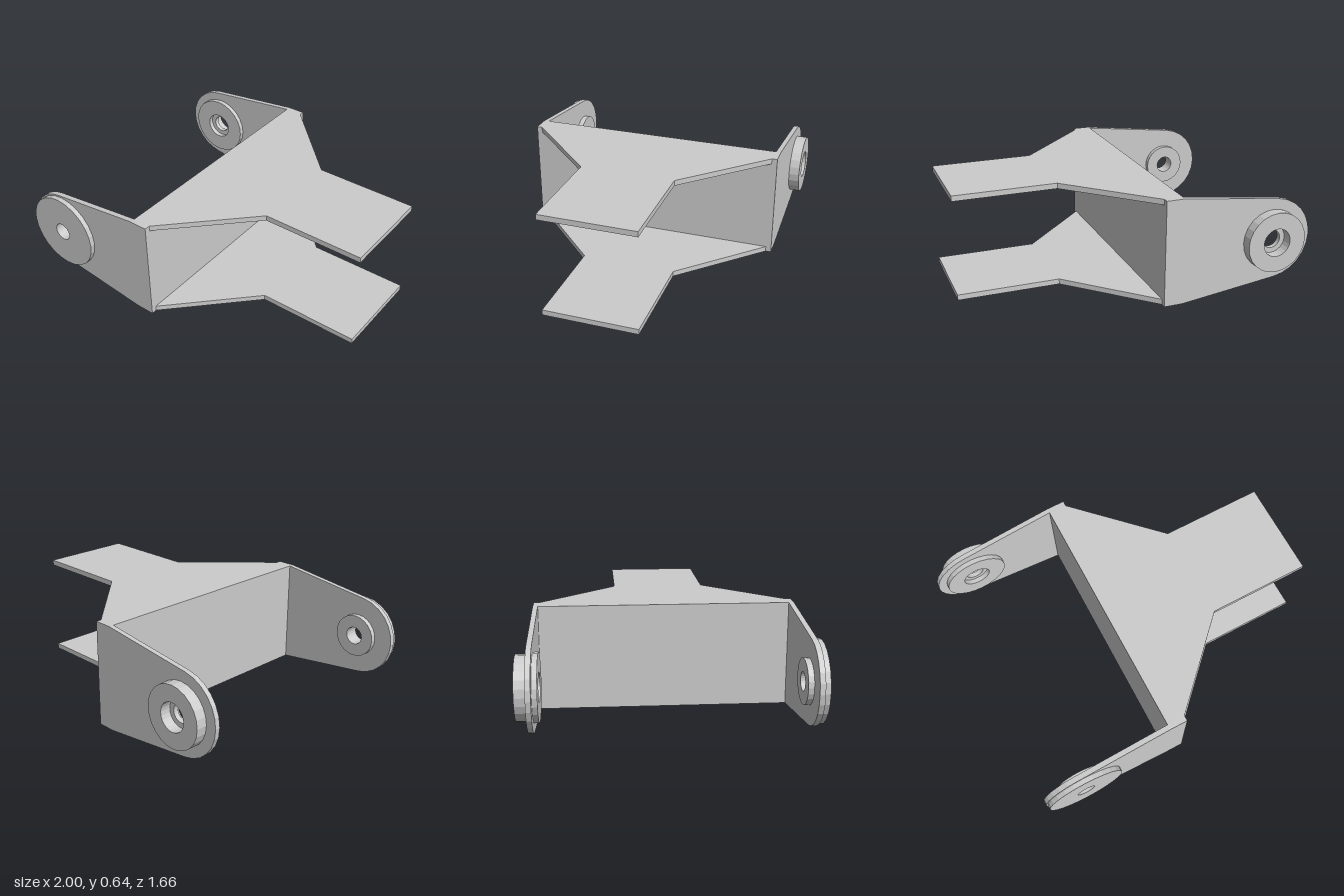
import * as THREE from 'three';

const PIVOT = { x: -0.753, y: 0.32 };
const HEIGHT = 0.64;
const WALL_BACK = -0.19, WALL_FRONT = -0.08;
const BORE = 0.055, COUNTERBORE = 0.085;

const material = new THREE.MeshStandardMaterial({ color: 0xcccccc, flatShading: true });

function addMesh(group, name, geometry) {
  const mesh = new THREE.Mesh(geometry, material);
  mesh.name = name;
  group.add(mesh);
  return mesh;
}

// Points around the pivot between two angles
function arcPoints(radius, from, to, count) {
  return Array.from({ length: count + 1 }, (_, i) => {
    const a = from + ((to - from) * i) / count;
    return new THREE.Vector2(PIVOT.x + radius * Math.cos(a), PIVOT.y + radius * Math.sin(a));
  });
}

const circle = (radius, count = 24) => arcPoints(radius, 0, Math.PI * 2, count).slice(0, -1);

// Extrudes an outline with a pivot bore from z0 to z1
function boredSlab(points, bore, z0, z1) {
  const shape = new THREE.Shape(points);
  shape.holes.push(new THREE.Path(circle(bore)));
  const geometry = new THREE.ExtrudeGeometry(shape, { depth: z1 - z0, bevelEnabled: false });
  return geometry.translate(0, 0, z0);
}

// Side arm: rounded end with tangent edges widening to the full height
function armOutline() {
  const tangent = THREE.MathUtils.degToRad(97);
  return [
    new THREE.Vector2(WALL_FRONT, 0),
    new THREE.Vector2(WALL_FRONT, HEIGHT),
    new THREE.Vector2(WALL_BACK, HEIGHT),
    ...arcPoints(0.247, tangent, Math.PI * 2 - tangent, 12),
    new THREE.Vector2(WALL_BACK, 0),
  ];
}

// Horizontal plate tapering from the wall into a narrow tongue
function plateGeometry(top) {
  const outline = [
    [WALL_FRONT, -0.737], [0.385, -0.273], [1, -0.273],
    [1, 0.3], [0.385, 0.3], [WALL_FRONT, 0.767],
  ].map(([x, z]) => new THREE.Vector2(x, z));
  const geometry = new THREE.ExtrudeGeometry(new THREE.Shape(outline), { depth: 0.033, bevelEnabled: false });
  return geometry.rotateX(Math.PI / 2).translate(0, top, 0);
}

export function createModel() {
  const model = new THREE.Group();
  model.name = 'forkBracket';

  // Cross wall joining the two arms
  const wall = new THREE.BoxGeometry(WALL_FRONT - WALL_BACK, HEIGHT, 1.508);
  wall.translate((WALL_FRONT + WALL_BACK) / 2, HEIGHT / 2, 0.014);
  addMesh(model, 'crossWall', wall);

  // Upper and lower plates
  addMesh(model, 'upperPlate', plateGeometry(HEIGHT));
  addMesh(model, 'lowerPlate', plateGeometry(0.033));

  // Side arms
  addMesh(model, 'frontArm', boredSlab(armOutline(), BORE, 0.768, 0.8));
  addMesh(model, 'backArm', boredSlab(armOutline(), BORE, -0.77, -0.74));

  // Pivot bosses: plain bores at the front, counterbored at the back
  const bosses = [
    ['frontOuterBoss', 0.237, BORE, 0.8, 0.83],
    ['frontInnerBoss', 0.132, BORE, 0.735, 0.768],
    ['backOuterBoss', 0.183, COUNTERBORE, -0.835, -0.77],
    ['backInnerBoss', 0.193, COUNTERBORE, -0.74, -0.71],
  ];
  for (const [name, radius, bore, z0, z1] of bosses) {
    addMesh(model, name, boredSlab(circle(radius), bore, z0, z1));
  }
  return model;
}
